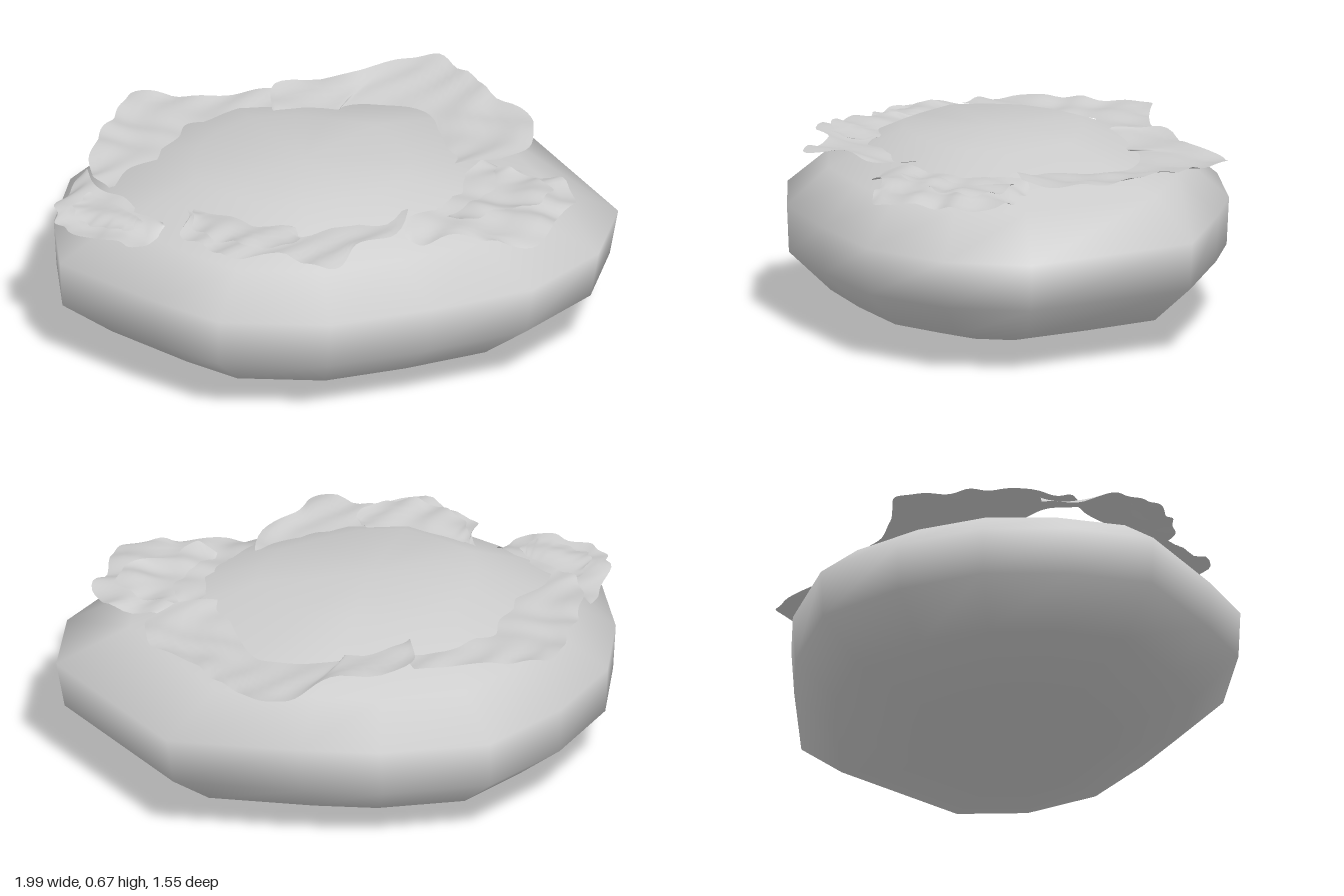
import * as THREE from 'three';
import { mergeVertices } from 'three/addons/utils/BufferGeometryUtils.js';

const stone = new THREE.MeshStandardMaterial({ color: 0xcccccc, side: THREE.DoubleSide });
stone.name = 'pale grey';

// Smooth surface over a grid of points; rows run along v, columns along u
function gridGeometry(cols, rows, point) {
  const pos = [], index = [];
  for (let r = 0; r < rows; r++) for (let c = 0; c < cols; c++) pos.push(...point(c, r));
  for (let r = 0; r < rows - 1; r++) for (let c = 0; c < cols - 1; c++) {
    const a = r * cols + c, b = a + 1, d = a + cols, e = d + 1;
    index.push(a, d, b, b, d, e);
  }
  let g = new THREE.BufferGeometry();
  g.setAttribute('position', new THREE.Float32BufferAttribute(pos, 3));
  g.setIndex(index);
  g = mergeVertices(g, 1e-4);
  g.computeVertexNormals();
  return g;
}

// Boulder: one uneven outline, scaled and shifted at each level
function boulder() {
  const outline = [[1, 0], [0.92, 0.3], [0.68, 0.55], [0.32, 0.68], [-0.04, 0.775], [-0.43, 0.74], [-0.65, 0.58],
    [-0.97, 0.3], [-0.98, 0], [-0.91, -0.3], [-0.71, -0.56], [-0.43, -0.77], [-0.04, -0.78], [0.24, -0.72], [0.69, -0.59]];
  // [y, x scale, z scale, x shift, z shift]
  const levels = [[0, 0, 0, -0.07, 0], [0, 0.43, 0.45, -0.07, 0.01], [0.1, 0.79, 0.8, -0.02, 0], [0.24, 0.98, 0.99, -0.01, 0],
    [0.41, 1, 1, 0, 0], [0.54, 0.77, 0.81, -0.03, 0], [0.66, 0.39, 0.41, -0.11, 0.04], [0.665, 0, 0, -0.11, 0.04]];
  return gridGeometry(outline.length + 1, levels.length, (c, r) => {
    const [x, z] = outline[c % outline.length], [y, sx, sz, dx, dz] = levels[r];
    return [x * sx + dx, y, z * sz + dz];
  });
}

// Ruffled sheet lofted between an outer and an inner edge
function sheet({ outer, inner, yOut, yIn, ruffle }) {
  const curve = (pts) => new THREE.CatmullRomCurve3(pts.map(([x, z]) => new THREE.Vector3(x, 0, z)));
  const co = curve(outer), ci = curve(inner), cols = 57, rows = 9;
  return gridGeometry(cols, rows, (c, r) => {
    const u = c / (cols - 1), v = r / (rows - 1);
    const p = ci.getPoint(u).lerp(co.getPoint(u), v);
    const wave = Math.sin(p.x * 23 + 2 * Math.sin(p.z * 11)) * Math.cos(p.z * 21 + p.x * 7);
    const scallop = 0.012 * v * Math.sin(u * 44) * ruffle / 0.02;
    return [p.x * (1 + scallop), yIn + (yOut - yIn) * v + ruffle * wave * (0.35 + 0.65 * v), p.z * (1 + scallop)];
  });
}

const sheets = {
  backLeftSheet: { yOut: 0.605, yIn: 0.6, ruffle: 0.012,
    outer: [[-0.19, -0.56], [-0.45, -0.53], [-0.68, -0.55], [-0.75, -0.4], [-0.82, -0.23], [-0.85, 0], [-0.79, 0.1]],
    inner: [[-0.16, -0.3], [-0.35, -0.34], [-0.5, -0.34], [-0.53, -0.25], [-0.58, -0.12], [-0.72, -0.02], [-0.77, 0.09]] },
  backSheet: { yOut: 0.63, yIn: 0.6, ruffle: 0.012,
    outer: [[-0.2, -0.38], [-0.18, -0.56], [0.1, -0.62], [0.27, -0.73], [0.38, -0.74], [0.48, -0.63], [0.58, -0.45], [0.71, -0.27], [0.69, -0.1], [0.58, 0]],
    inner: [[-0.18, -0.34], [0, -0.33], [0.05, -0.44], [0.33, -0.4], [0.38, -0.25], [0.35, -0.1], [0.28, 0.02]] },
  rightSheet: { yOut: 0.585, yIn: 0.61, ruffle: 0.018,
    outer: [[0.56, -0.03], [0.68, 0.02], [0.82, 0.1], [0.83, 0.25], [0.76, 0.36], [0.72, 0.5], [0.6, 0.53], [0.45, 0.48], [0.3, 0.5], [0.23, 0.46]],
    inner: [[0.52, -0.02], [0.42, 0.14], [0.4, 0.25], [0.25, 0.38]] },
  rightRuffle: { yOut: 0.615, yIn: 0.6, ruffle: 0.016,
    outer: [[0.58, 0.02], [0.68, 0.08], [0.76, 0.2], [0.68, 0.32], [0.55, 0.34], [0.45, 0.42], [0.38, 0.36]],
    inner: [[0.56, 0.04], [0.52, 0.17], [0.45, 0.23], [0.39, 0.34]] },
  frontSheet: { yOut: 0.612, yIn: 0.61, ruffle: 0.015,
    outer: [[-0.54, 0.1], [-0.52, 0.35], [-0.55, 0.45], [-0.47, 0.55], [-0.36, 0.65], [-0.2, 0.61], [-0.08, 0.71], [0, 0.7], [0.07, 0.57], [0.2, 0.5], [0.25, 0.25], [0.2, 0.12]],
    inner: [[-0.52, 0.1], [-0.42, 0.25], [-0.22, 0.35], [-0.05, 0.44], [0.1, 0.4], [0.19, 0.13]] },
  frontRuffle: { yOut: 0.63, yIn: 0.62, ruffle: 0.016,
    outer: [[-0.5, 0.3], [-0.5, 0.45], [-0.38, 0.57], [-0.25, 0.6], [-0.14, 0.54], [-0.15, 0.45]],
    inner: [[-0.48, 0.3], [-0.38, 0.3], [-0.3, 0.33], [-0.16, 0.44]] },
  leftSheet: { yOut: 0.55, yIn: 0.575, ruffle: 0.015,
    outer: [[-0.88, -0.08], [-0.98, 0.17], [-0.96, 0.3], [-0.82, 0.4], [-0.7, 0.43], [-0.6, 0.33]],
    inner: [[-0.86, -0.08], [-0.83, 0.05], [-0.74, 0.13], [-0.69, 0.22], [-0.61, 0.32]] },
  leftRuffle: { yOut: 0.575, yIn: 0.57, ruffle: 0.014,
    outer: [[-0.86, 0.08], [-0.92, 0.22], [-0.84, 0.32], [-0.74, 0.36], [-0.68, 0.3]],
    inner: [[-0.84, 0.08], [-0.77, 0.15], [-0.71, 0.21], [-0.69, 0.28]] },
};

export function createModel() {
  const group = new THREE.Group();
  const add = (name, geometry) => {
    const mesh = new THREE.Mesh(geometry, stone);
    mesh.name = name;
    group.add(mesh);
  };
  add('boulder', boulder());
  for (const [name, spec] of Object.entries(sheets)) add(name, sheet(spec));
  return group;
}
